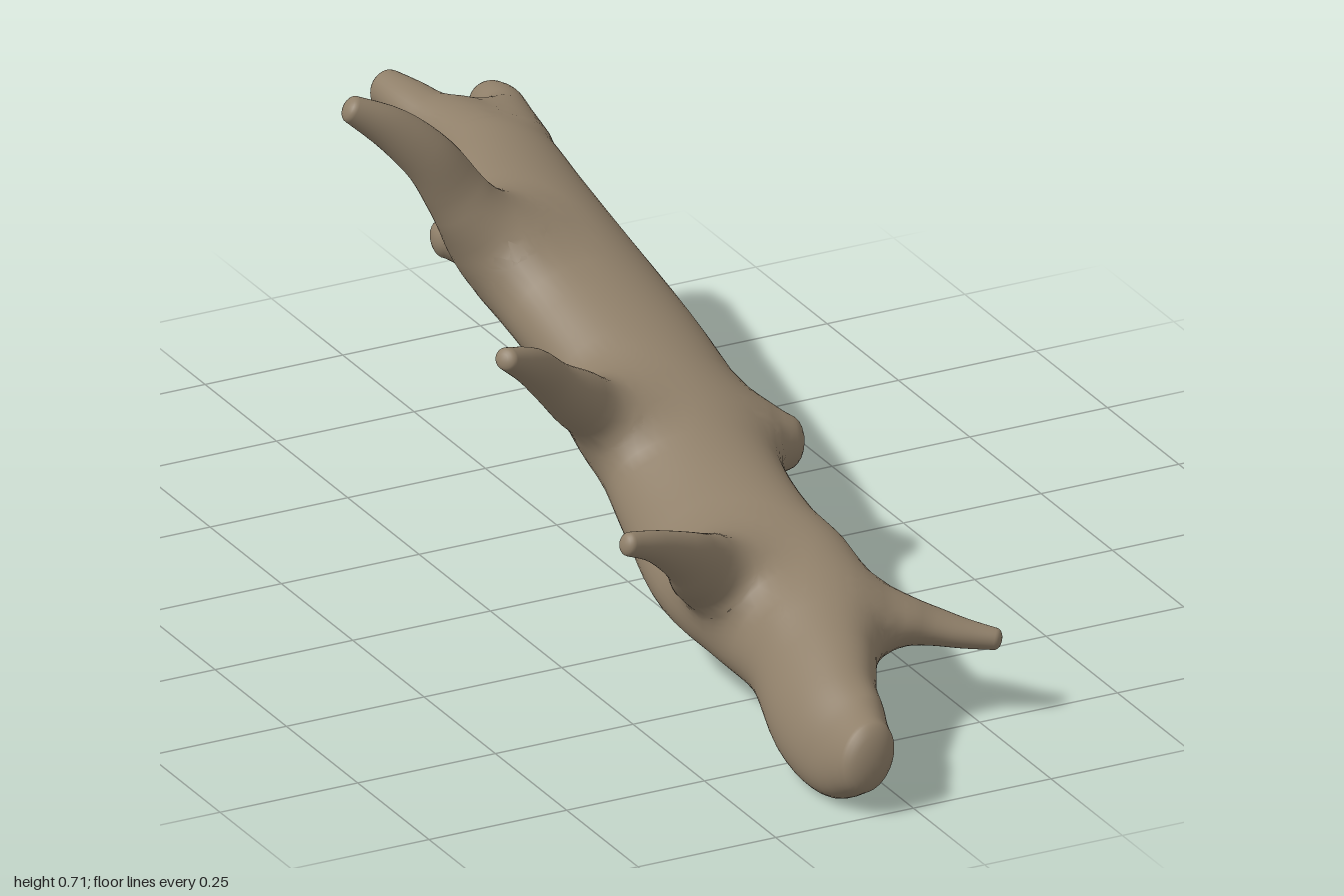
import * as THREE from 'three';

const wood = new THREE.MeshStandardMaterial({ color: 0x8f7f69 });
wood.name = 'weathered wood';

const CAP = 0.6; // end caps bulge by this share of the end radius
const V = (x, y, z) => new THREE.Vector3(x, y, z);

// Smooth interpolation through rows of numbers, column by column
function sampleRows(rows, perSpan) {
  const out = [];
  const last = rows.length - 1;
  for (let s = 0; s <= last * perSpan; s++) {
    const i = Math.min(Math.floor(s / perSpan), last - 1);
    const t = s / perSpan - i;
    const [a, b, c, d] = [i - 1, i, i + 1, i + 2].map(k => rows[Math.max(0, Math.min(last, k))]);
    out.push(b.map((_, k) => b[k] + 0.5 * t * (c[k] - a[k]
      + t * (2 * a[k] - 5 * b[k] + 4 * c[k] - d[k] + t * (3 * (b[k] - c[k]) + d[k] - a[k])))));
  }
  return out;
}

// A limb's oval cross-sections. Each row: x, y, z, radius along ref, radius across it,
// and optionally the roll of the oval in degrees
function makeLimb(name, rows, ref, blend, sides, perSpan) {
  const samples = sampleRows(rows, perSpan);
  const centres = samples.map(s => V(s[0], s[1], s[2]));
  const sections = samples.map(([, , , ru, rv, roll = 0], i) => {
    const dir = centres[Math.min(i + 1, centres.length - 1)].clone()
      .sub(centres[Math.max(i - 1, 0)]).normalize();
    const u = ref.clone().addScaledVector(dir, -ref.dot(dir)).normalize()
      .applyAxisAngle(dir, -roll * Math.PI / 180);
    return { c: centres[i], dir, u, v: dir.clone().cross(u), ru, rv };
  });
  return { name, sections, blend, sides };
}

// Approximate distance from a point to a limb's surface, negative inside
const q = V(0, 0, 0), ab = V(0, 0, 0);
function limbDistance({ sections }, p) {
  let best = Infinity;
  for (let i = 0; i < sections.length - 1; i++) {
    const A = sections[i], B = sections[i + 1];
    ab.subVectors(B.c, A.c);
    q.subVectors(p, A.c);
    const t = Math.max(0, Math.min(1, q.dot(ab) / ab.lengthSq()));
    q.addScaledVector(ab, -t);
    const ru = A.ru + (B.ru - A.ru) * t, rv = A.rv + (B.rv - A.rv) * t;
    const S = t < 0.5 ? A : B;
    const m = Math.hypot(q.dot(S.u) / ru, q.dot(S.v) / rv, q.dot(S.dir) / (CAP * Math.min(ru, rv)));
    const len = q.length();
    best = Math.min(best, m > 1e-4 ? len - len / m : -Math.min(ru, rv));
  }
  return best;
}

// All limbs joined with soft fillets
function field(limbs, p) {
  let f = Infinity;
  for (const limb of limbs) {
    const d = limbDistance(limb, p);
    const h = Math.max(limb.blend - Math.abs(f - d), 0) / limb.blend;
    f = Math.min(f, d) - h * h * limb.blend / 4;
  }
  return f;
}

function gradient(limbs, p) {
  const e = 0.004;
  return V(...['x', 'y', 'z'].map(k => {
    const a = p.clone(), b = p.clone();
    a[k] += e;
    b[k] -= e;
    return (field(limbs, a) - field(limbs, b)) / (2 * e);
  }));
}

// Loft a limb, then ease its skin onto the filleted surface; buried points stay hidden
function buildLimb(limb, limbs) {
  const { sections, sides } = limb;
  const points = [], index = [];
  const ring = (S, scale, push) => {
    for (let k = 0; k < sides; k++) {
      const a = k / sides * Math.PI * 2;
      points.push(S.c.clone().addScaledVector(S.dir, push)
        .addScaledVector(S.u, Math.cos(a) * S.ru * scale)
        .addScaledVector(S.v, Math.sin(a) * S.rv * scale));
    }
  };
  const cap = (S, j, sign) => {
    const a = j / 5 * 1.5;
    ring(S, Math.cos(a), sign * CAP * Math.min(S.ru, S.rv) * Math.sin(a));
  };
  for (let j = 5; j > 0; j--) cap(sections[0], j, -1);
  for (const S of sections) ring(S, 1, 0);
  for (let j = 1; j <= 5; j++) cap(sections[sections.length - 1], j, 1);

  const end = points.length - sides;
  for (let r = 0; r < end; r += sides) {
    for (let k = 0; k < sides; k++) {
      const a = r + k, b = r + (k + 1) % sides;
      index.push(a, b, a + sides, b, b + sides, a + sides);
    }
  }
  for (let k = 1; k < sides - 1; k++) index.push(0, k + 1, k, end, end + k, end + k + 1);

  const normals = [];
  for (const p of points) {
    let f = field(limbs, p);
    if (f > -0.055) {
      for (let step = 0; step < 5 && Math.abs(f) > 0.0003; step++) {
        const g = gradient(limbs, p);
        p.addScaledVector(g, -f / Math.max(g.lengthSq(), 0.3));
        f = field(limbs, p);
      }
    }
    normals.push(...gradient(limbs, p).normalize().toArray());
  }

  const geo = new THREE.BufferGeometry().setFromPoints(points);
  geo.setAttribute('normal', new THREE.Float32BufferAttribute(normals, 3));
  geo.setIndex(index);
  const mesh = new THREE.Mesh(geo, wood);
  mesh.name = limb.name;
  return mesh;
}

export function createModel() {
  const group = new THREE.Group();
  group.name = 'fallenBranch';
  const across = V(1, 0, 0);
  const along = V(0, 0, 1);

  // Main trunk, from the low front end to the raised back end, slowly twisting
  const limbs = [makeLimb('trunk', [
    [-0.07, 0.098, 0.972, 0.062, 0.045, 65],
    [-0.067, 0.089, 0.9, 0.091, 0.056, 62],
    [-0.056, 0.105, 0.8, 0.102, 0.068, 55],
    [-0.005, 0.143, 0.65, 0.114, 0.084, 42],
    [0.02, 0.165, 0.5, 0.142, 0.09, 28],
    [0.018, 0.18, 0.35, 0.147, 0.09, 24],
    [0.042, 0.203, 0.2, 0.141, 0.092, 17],
    [0.07, 0.243, 0.05, 0.142, 0.096, 8],
    [0.087, 0.306, -0.15, 0.138, 0.096, 0],
    [0.08, 0.38, -0.4, 0.141, 0.096, -8],
    [0.097, 0.417, -0.55, 0.129, 0.083, -11],
    [0.129, 0.442, -0.68, 0.101, 0.068, -12],
    [0.146, 0.45, -0.77, 0.089, 0.05, -12],
    [0.152, 0.452, -0.84, 0.07, 0.036, -12],
  ], across, 0.07, 48, 5)];

  // Tapering side branches, listed from flared root to tip
  const branches = {
    frontLeftSideBranch: [
      [0.0, 0.19, 0.42, 0.08, 0.045], [-0.06, 0.215, 0.46, 0.075, 0.055],
      [-0.117, 0.248, 0.495, 0.055, 0.062], [-0.165, 0.29, 0.522, 0.036, 0.044],
      [-0.235, 0.335, 0.55, 0.025, 0.027], [-0.291, 0.357, 0.565, 0.019, 0.02]],
    middleSideBranch: [
      [0.02, 0.27, -0.02, 0.08, 0.045], [-0.04, 0.305, 0.0, 0.07, 0.05],
      [-0.1, 0.355, 0.025, 0.05, 0.05], [-0.16, 0.407, 0.052, 0.034, 0.038],
      [-0.22, 0.465, 0.09, 0.03, 0.032], [-0.285, 0.507, 0.126, 0.021, 0.019]],
    tallSideBranch: [
      [0.03, 0.39, -0.41, 0.09, 0.05], [-0.005, 0.43, -0.42, 0.08, 0.058],
      [-0.045, 0.47, -0.432, 0.066, 0.062], [-0.08, 0.525, -0.445, 0.047, 0.052],
      [-0.122, 0.592, -0.455, 0.039, 0.045], [-0.18, 0.65, -0.473, 0.033, 0.037],
      [-0.247, 0.694, -0.49, 0.024, 0.023]],
    frontRightSideBranch: [
      [0.0, 0.16, 0.58, 0.07, 0.045], [0.07, 0.168, 0.615, 0.075, 0.05],
      [0.14, 0.168, 0.645, 0.068, 0.044], [0.195, 0.155, 0.668, 0.05, 0.032],
      [0.245, 0.143, 0.702, 0.031, 0.024], [0.288, 0.136, 0.732, 0.018, 0.018]],
    rightKnob: [
      [0.1, 0.245, 0.0, 0.08, 0.045], [0.16, 0.238, 0.03, 0.08, 0.05],
      [0.215, 0.232, 0.06, 0.062, 0.052], [0.252, 0.229, 0.077, 0.042, 0.042]],
    leftKnob: [
      [0.04, 0.415, -0.52, 0.05, 0.04], [-0.02, 0.41, -0.53, 0.042, 0.04],
      [-0.06, 0.405, -0.54, 0.03, 0.028]],
  };
  for (const [name, rows] of Object.entries(branches)) {
    limbs.push(makeLimb(name, rows, along, name === 'leftKnob' ? 0.04 : 0.075, 32, 4));
  }

  // Two prongs of the forked back end
  const prongs = {
    leftProng: [
      [0.115, 0.45, -0.74, 0.042, 0.034], [0.096, 0.458, -0.83, 0.046, 0.038],
      [0.082, 0.465, -0.91, 0.043, 0.037], [0.071, 0.467, -0.98, 0.032, 0.034]],
    rightProng: [
      [0.185, 0.442, -0.74, 0.036, 0.034], [0.212, 0.441, -0.82, 0.04, 0.037],
      [0.228, 0.437, -0.89, 0.042, 0.039], [0.235, 0.429, -0.935, 0.037, 0.036]],
  };
  for (const [name, rows] of Object.entries(prongs)) {
    limbs.push(makeLimb(name, rows, across, 0.045, 32, 4));
  }

  for (const limb of limbs) group.add(buildLimb(limb, limbs));
  return group;
}
